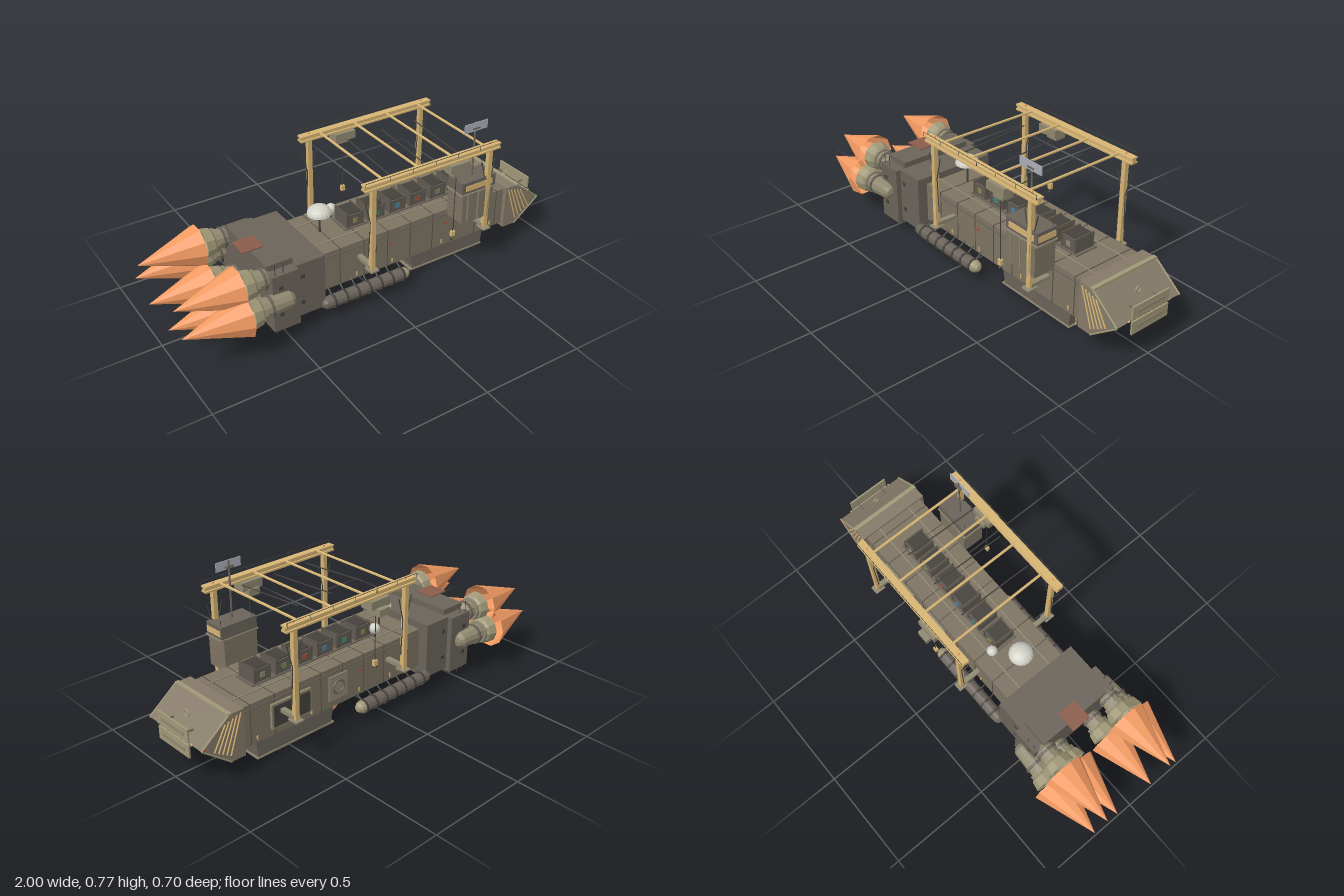
import * as THREE from 'three';

const C = { hull: 0x7d7362, dark: 0x6a635a, nose: 0x857a68, seam: 0x5a5348, tan: 0xd6b473, metal: 0x8f8870, pale: 0xa09878,
  flame: 0xf29a62, dish: 0xd2d2c8, line: 0x45423c, sign: 0xa9adb6, copper: 0xb9794a, patch: 0x8a5c4c };
const mats = {};
const mat = (c) => (mats[c] ??= new THREE.MeshStandardMaterial({ color: c, flatShading: true, side: THREE.DoubleSide }));

export function createModel() {
  const root = new THREE.Group();
  const add = (name, geo, color, x = 0, y = 0, z = 0) => {
    const m = new THREE.Mesh(geo, mat(color));
    m.name = name;
    m.position.set(x, y, z);
    root.add(m);
    return m;
  };
  // Box given by its limits on each axis
  const box = (name, c, x0, x1, y0, y1, z0, z1) =>
    add(name, new THREE.BoxGeometry(x1 - x0, y1 - y0, z1 - z0), c, (x0 + x1) / 2, (y0 + y1) / 2, (z0 + z1) / 2);
  // Straight rod between two points
  const rod = (name, c, a, b, r = 0.003, sides = 6) => {
    const p = new THREE.Vector3(...a), q = new THREE.Vector3(...b);
    const m = add(name, new THREE.CylinderGeometry(r, r, p.distanceTo(q), sides), c);
    m.position.copy(p).lerp(q, 0.5);
    m.quaternion.setFromUnitVectors(new THREE.Vector3(0, 1, 0), q.sub(p).normalize());
    return m;
  };
  // Lathe lying along x; profile points are [radius, x]
  const turned = (name, c, pts, y, z, sides = 10) => {
    const g = new THREE.LatheGeometry(pts.map((p) => new THREE.Vector2(...p)), sides);
    g.rotateZ(-Math.PI / 2);
    return add(name, g, c, 0, y, z);
  };
  const both = (f) => [1, -1].forEach(f);

  // Main hull with seams, edge strips and hatches
  box('hull', C.hull, -0.3, 0.78, 0.115, 0.312, -0.165, 0.165);
  for (let i = 0; i < 8; i++) {
    const x = -0.185 + i * 0.13;
    box('hullSeam', C.seam, x - 0.002, x + 0.002, 0.113, 0.314, -0.167, 0.167);
  }
  both((s) => {
    box('roofStrip', C.metal, -0.3, 0.77, 0.311, 0.316, s * 0.09 - 0.003, s * 0.09 + 0.003);
    box('sideRail', C.dark, -0.3, 0.77, 0.285, 0.29, s * 0.166 - 0.003, s * 0.166 + 0.003);
    for (const x of [-0.1, 0.1, 0.39, 0.69]) box('hullMarker', C.tan, x, x + 0.006, 0.13, 0.15, s * 0.166 - 0.003, s * 0.166 + 0.003);
    for (const x of [0.08, 0.4]) box('sideLight', 0xa84a3a, x, x + 0.02, 0.235, 0.243, s * 0.166 - 0.003, s * 0.166 + 0.003);
  });
  box('sideHatchFrame', C.metal, 0.4, 0.62, 0.15, 0.27, -0.176, -0.16);
  box('sideHatch', C.line, 0.41, 0.61, 0.16, 0.26, -0.181, -0.16);
  box('airlockPanel', C.metal, 0.18, 0.29, 0.15, 0.27, -0.172, -0.16);
  add('airlockRing', new THREE.TorusGeometry(0.032, 0.005, 6, 14), C.dark, 0.235, 0.21, -0.173);

  // Wedge nose
  const prow = new THREE.Shape([[0.77, 0.098], [0.84, 0.098], [0.985, 0.21], [0.84, 0.322], [0.77, 0.322]].map((p) => new THREE.Vector2(...p)));
  add('nose', new THREE.ExtrudeGeometry(prow, { depth: 0.37, bevelEnabled: false }), C.nose, 0, 0, -0.185);
  both((s) => {
    // Slanted cheek stripes
    for (let i = 0; i < 5; i++) {
      const x = 0.785 + i * 0.02;
      rod('noseStripe', C.tan, [x, 0.31 - i * 0.006, s * 0.186], [x + 0.06, 0.13 + i * 0.012, s * 0.186], 0.0035);
    }
    rod('noseEdge', C.pale, [0.842, 0.322, s * 0.185], [0.985, 0.21, s * 0.185], 0.004);
    rod('noseEdge', C.pale, [0.842, 0.098, s * 0.185], [0.985, 0.21, s * 0.185], 0.004);
    add('navigationLight', new THREE.SphereGeometry(0.006, 8, 6), s > 0 ? 0x3fae4c : 0xc8392f, 0.975, 0.213, s * 0.187);
    add('noseLamp', new THREE.SphereGeometry(0.005, 8, 6), C.tan, 0.985, 0.213, s * 0.118);
    // Upright front plates and their struts
    const y = 0.213 + s * 0.036;
    box('bumperPlate', C.pale, 0.986, 0.994, y - 0.031, y + 0.031, -0.107, 0.107);
    box('bumperGroove', C.metal, 0.99, 0.996, y - 0.008, y + 0.008, -0.08, 0.08);
    for (const z of [-0.07, 0.07]) rod('bumperStrut', C.dark, [0.93, 0.212 + s * 0.03, z], [0.988, y, z], 0.004);
    const ring = add('towRing', new THREE.TorusGeometry(0.015, 0.003, 6, 12), C.pale, 0.92, 0.21 + s * 0.073, 0);
    ring.rotation.y = Math.PI / 2;
  });
  box('noseRidge', C.pale, 0.83, 0.85, 0.318, 0.326, -0.187, 0.187);

  // Engine block
  box('engineBlockFront', C.dark, -0.45, -0.295, 0.07, 0.346, -0.217, 0.217);
  box('engineBlockRear', C.dark, -0.57, -0.44, 0.055, 0.345, -0.242, 0.242);
  box('engineBlockRoof', C.dark, -0.57, -0.44, 0.34, 0.374, -0.19, 0.19);
  box('roofPatch', C.patch, -0.61, -0.505, 0.374, 0.379, -0.05, 0.05);
  both((s) => {
    for (const x of [-0.41, -0.53]) for (const y of [0.14, 0.28]) {
      const z = s * (x < -0.45 ? 0.242 : 0.217);
      box('accessCover', C.line, x - 0.01, x + 0.01, y - 0.01, y + 0.01, z - 0.003, z + 0.003);
    }
    for (const x of [-0.51, -0.55]) rod('antenna', C.line, [x, 0.03, s * 0.23], [x, 0.4, s * 0.23], 0.0018);
  });

  // Six engines with their exhaust cones
  both((s) => {
    [[0.32, 0.19], [0.215, 0.25], [0.165, 0.105]].forEach(([y, z], i) => {
      const front = i === 1 ? -0.47 : -0.55;
      turned('engine', C.metal, [[0, front], [0.025, front - 0.006], [0.04, front - 0.025], [0.046, -0.58], [0.046, -0.625], [0.056, -0.625], [0.056, -0.64], [0.045, -0.64]], y, s * z, 12);
      turned('nozzle', C.pale, [[0.05, -0.635], [0.065, -0.65], [0.073, -0.692], [0.066, -0.692], [0.03, -0.645]], y, s * z);
      turned('nozzleCollar', C.dark, [[0.046, -0.6], [0.052, -0.6], [0.052, -0.588], [0.046, -0.588]], y, s * z, 12);
      turned('exhaust', C.flame, [[0.1, -0.708], [0, -1]], y, s * z);
    });
  });

  // Long side tanks with bands and hangers
  both((s) => {
    turned('sideTank', C.dark, [[0, -0.315], [0.018, -0.31], [0.028, -0.295], [0.031, -0.27], [0.031, 0.12], [0.026, 0.145], [0.014, 0.16], [0, 0.164]], 0.081, s * 0.215, 12);
    turned('tankCap', C.pale, [[0.032, 0.12], [0.027, 0.146], [0.015, 0.161], [0, 0.165]], 0.081, s * 0.215, 12);
    for (let i = 0; i < 7; i++) {
      const x = -0.26 + i * 0.063;
      turned('tankBand', C.line, [[0.031, x], [0.035, x], [0.035, x + 0.01], [0.031, x + 0.01]], 0.081, s * 0.215, 12);
      rod('tankHanger', C.line, [x + 0.005, 0.1, s * 0.215], [x + 0.005, 0.135, s * 0.16], 0.0035);
    }
  });

  // Belly hold, narrower at the top, with pipes and feelers
  const belly = new THREE.Shape([[0.25, 0.02], [0.67, 0.02], [0.68, 0.115], [0.23, 0.115]].map((p) => new THREE.Vector2(...p)));
  add('bellyHold', new THREE.ExtrudeGeometry(belly, { depth: 0.27, bevelEnabled: false }), C.dark, 0, 0, -0.135);
  box('bellyFlange', C.metal, 0.235, 0.675, 0.008, 0.016, -0.138, 0.138);
  box('bellyFloor', C.dark, 0.245, 0.67, 0.015, 0.022, -0.134, 0.134);
  for (let i = 0; i < 4; i++) {
    const z = -0.09 + i * 0.06, d = (i % 2) * 0.02;
    const path = new THREE.CatmullRomCurve3([[0.15 + d, 0.12], [0.16 + d, 0.075], [0.2, 0.045 + d], [0.26, 0.035 + d]].map(([x, y]) => new THREE.Vector3(x, y, z)));
    add('supplyPipe', new THREE.TubeGeometry(path, 10, 0.008, 6), C.copper);
  }
  rod('feeler', C.tan, [0.685, 0.02, 0.107], [0.685, 0.095, 0.107]);
  rod('feeler', C.line, [0.68, 0.02, 0.1], [0.705, 0.06, 0.1], 0.002);

  // Gantry: rails, posts, feet, braces and hoists on each side
  both((s) => {
    const z = s * 0.268;
    for (const y of [0.643, 0.665]) box('gantryRail', C.tan, -0.13, 0.615, y - 0.004, y + 0.004, z - 0.018, z + 0.018);
    box('gantryWeb', C.tan, -0.13, 0.615, 0.64, 0.668, z - 0.009, z + 0.009);
    rod('safetyLine', C.line, [-0.13, 0.685, z + s * 0.02], [0.615, 0.685, z + s * 0.02], 0.0012);
    for (let i = 0; i < 7; i++) rod('safetyStake', C.line, [-0.13 + i * 0.124, 0.665, z + s * 0.02], [-0.13 + i * 0.124, 0.685, z + s * 0.02], 0.0012);
    for (const x of [-0.08, 0.565]) {
      box('gantryPost', C.tan, x - 0.011, x + 0.011, 0.22, 0.645, z - 0.011, z + 0.011);
      box('postFoot', C.metal, x - 0.022, x + 0.022, 0.215, 0.222, z - 0.027, z + 0.027);
      box('postBracket', C.metal, x - 0.012, x + 0.012, 0.222, 0.24, Math.min(s * 0.16, z), Math.max(s * 0.16, z));
      add('postLamp', new THREE.SphereGeometry(0.006, 8, 6), C.flame, x, 0.674, z);
      for (const d of [-1, 1]) {
        rod('postBrace', C.line, [x + d * 0.04, 0.58, z], [x + d * 0.012, 0.47, z], 0.0025);
        rod('postBrace', C.line, [x + d * 0.012, 0.47, z], [x + d * 0.02, 0.3, z], 0.0025);
      }
    }
    const hx = s > 0 ? 0.375 : 0.105;
    box('hoistTrolley', C.metal, hx - 0.055, hx + 0.055, 0.595, 0.636, z - 0.032, z + 0.032);
    const hz = s > 0 ? 0.255 : -0.295;
    box('hoistMotor', C.metal, hx - 0.03, hx + 0.03, 0.567, 0.6, hz - 0.03, hz + 0.03);
    const end = s > 0 ? 0.25 : 0.32;
    rod('hoistCable', C.line, [hx, 0.57, z], [hx, end, z], 0.002);
    box('hoistHookBlock', C.tan, hx - 0.01, hx + 0.01, end - 0.015, end + 0.012, z - 0.008, z + 0.008);
    add('hoistHook', new THREE.TorusGeometry(0.011, 0.003, 6, 10, 4.5), C.line, hx, end - 0.025, z);
  });
  for (const x of [-0.025, 0.165, 0.35, 0.535]) rod('crossBeam', C.tan, [x, 0.664, -0.268], [x, 0.664, 0.268], 0.0065);
  for (const x of [0.055, 0.245, 0.43]) rod('crossTie', C.line, [x, 0.628, 0.24], [x, 0.655, -0.14], 0.003);

  // Control cabin, mast and sign
  box('cabinBase', C.hull, 0.42, 0.6, 0.285, 0.44, 0.163, 0.275);
  box('cabinTop', C.dark, 0.415, 0.61, 0.44, 0.502, 0.167, 0.273);
  box('cabinWindowSide', C.tan, 0.435, 0.59, 0.457, 0.484, 0.27, 0.276);
  box('cabinWindowFront', C.tan, 0.608, 0.613, 0.457, 0.484, 0.173, 0.267);
  box('cabinSill', C.metal, 0.41, 0.615, 0.436, 0.443, 0.163, 0.278);
  for (const x of [0.45, 0.51, 0.57]) box('cabinRib', C.metal, x - 0.003, x + 0.003, 0.29, 0.436, 0.274, 0.279);
  rod('mast', C.dark, [0.51, 0.5, 0.22], [0.51, 0.775, 0.22], 0.0045);
  box('sign', C.sign, 0.443, 0.575, 0.733, 0.775, 0.224, 0.228);
  box('signMount', C.dark, 0.49, 0.53, 0.742, 0.75, 0.21, 0.23);
  for (const x of [0.43, 0.6]) rod('cabinAntenna', C.line, [x, 0.5, 0.18], [x, 0.53, 0.18], 0.0015);

  // Row of deck cargo crates
  [0x8a8a4a, 0x3f8a78, 0x4a7fa0, 0xa0503f, 0x7a8a5a, 0x8f8870].forEach((tag, i) => {
    const x = -0.03 + i * 0.119;
    box('crate', 0x605b53, x - 0.046, x + 0.046, 0.316, 0.38, -0.052, 0.052);
    box('crateLid', C.line, x - 0.04, x + 0.04, 0.38, 0.384, -0.045, 0.045);
    for (const d of [-0.04, 0.04]) box('crateStrap', C.seam, x + d - 0.004, x + d + 0.004, 0.314, 0.386, -0.055, 0.055);
    both((s) => box('crateTag', tag, x - 0.012, x + 0.012, 0.336, 0.36, s * 0.053 - 0.002, s * 0.053 + 0.002));
    box('crateRail', C.dark, x - 0.06, x + 0.06, 0.311, 0.318, -0.06, 0.06);
  });

  // Dish dome and small radome on the aft deck
  rod('dishStalk', C.line, [-0.19, 0.31, 0], [-0.19, 0.42, 0], 0.005);
  const dome = add('dish', new THREE.SphereGeometry(0.058, 16, 6, 0, Math.PI * 2, 0, Math.PI / 2), C.dish, -0.19, 0.411, 0);
  dome.scale.y = 0.75;
  add('dishFeed', new THREE.SphereGeometry(0.007, 8, 6), C.tan, -0.19, 0.398, 0);
  add('radome', new THREE.SphereGeometry(0.026, 12, 8), C.dish, -0.08, 0.358, -0.08);
  rod('radomeStalk', C.line, [-0.08, 0.31, -0.08], [-0.08, 0.35, -0.08], 0.006);
  return root;
}
